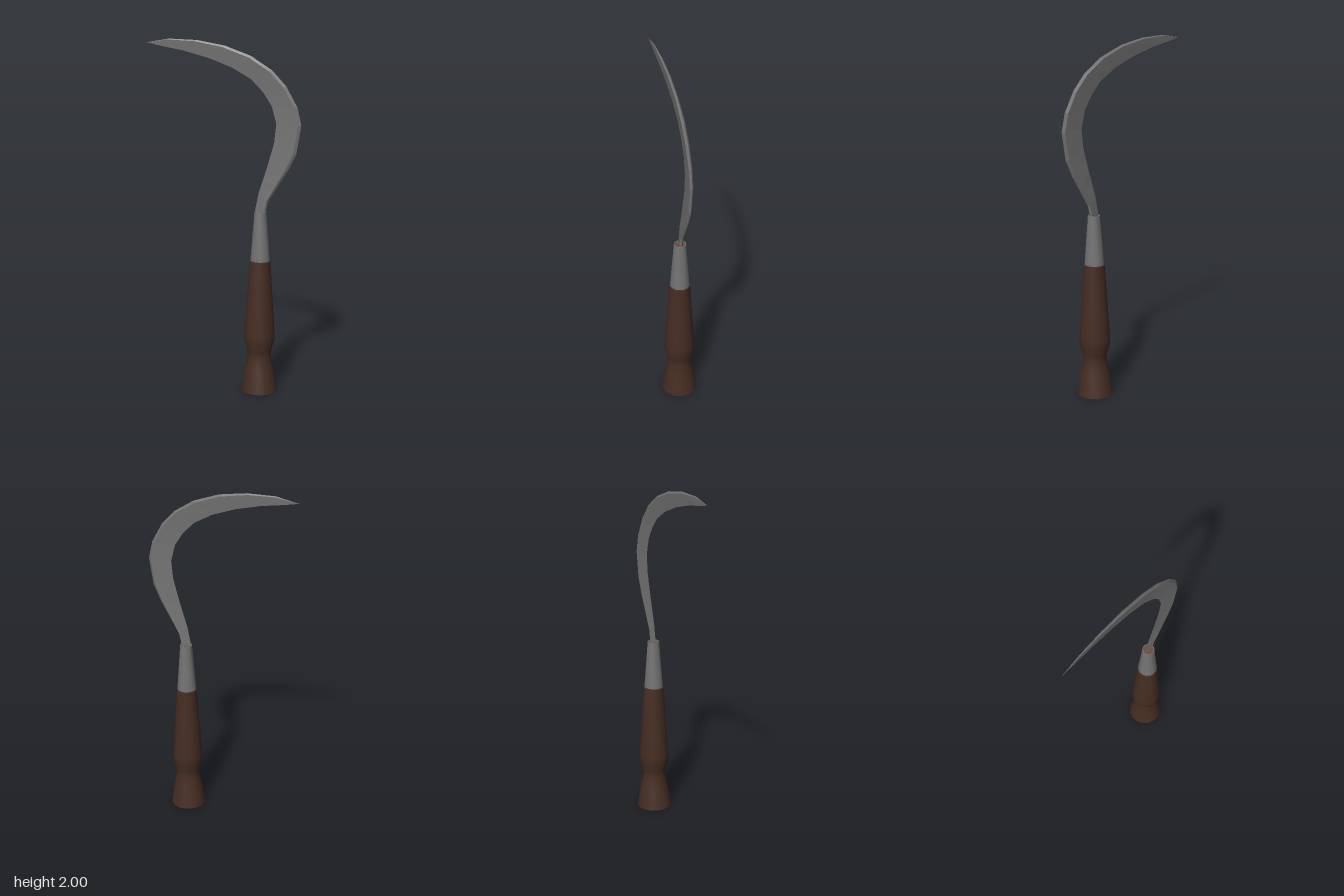
import * as THREE from 'three';
import { toCreasedNormals } from 'three/addons/utils/BufferGeometryUtils.js';

const SIDES = 16;
const AXIS_X = 0.215;

const steel = new THREE.MeshStandardMaterial({ name: 'steel', color: 0x737373 });
const wood = new THREE.MeshStandardMaterial({ name: 'darkWood', color: 0x452d22 });
const endGrain = new THREE.MeshStandardMaterial({ name: 'endGrain', color: 0x74462f });
const bladeSteel = steel.clone();
bladeSteel.name = 'bladeSteel';
bladeSteel.flatShading = true;

// Turned part around the handle axis, profile given as [radius, y] upward
function turned(name, profile, material) {
  const points = profile.map(([r, y]) => new THREE.Vector2(r, y));
  const geometry = new THREE.LatheGeometry(points, SIDES, Math.PI / SIDES);
  const mesh = new THREE.Mesh(toCreasedNormals(geometry, 0.7), material);
  mesh.name = name;
  mesh.position.x = AXIS_X;
  return mesh;
}

// Blade stations: [inner x, inner y, spine x, spine y, half thickness]
const STATIONS = [
  [0.183, 1.0, 0.246, 1.0, 0.01],
  [0.183, 1.058, 0.246, 1.058, 0.01],
  [0.204, 1.164, 0.257, 1.11, 0.01],
  [0.228, 1.24, 0.31, 1.2, 0.01],
  [0.251, 1.312, 0.368, 1.296, 0.01],
  [0.288, 1.444, 0.413, 1.39, 0.01],
  [0.299, 1.55, 0.438, 1.545, 0.01],
  [0.273, 1.646, 0.415, 1.645, 0.01],
  [0.225, 1.72, 0.352, 1.757, 0.01],
  [0.156, 1.79, 0.273, 1.841, 0.01],
  [0.045, 1.852, 0.156, 1.915, 0.009],
  [-0.087, 1.9, 0.008, 1.968, 0.008],
  [-0.23, 1.937, -0.15, 1.995, 0.006],
  [-0.36, 1.96, -0.31, 2.0, 0.003],
  [-0.44, 1.977, -0.44, 1.978, 0.0005],
];

// Blade lofted from sections with a sharp inner edge and a bevelled spine
function makeBlade() {
  const positions = [];
  const index = [];
  STATIONS.forEach(([ix, iy, sx, sy, t], i) => {
    const rx = THREE.MathUtils.lerp(ix, sx, 0.88);
    const ry = THREE.MathUtils.lerp(iy, sy, 0.88);
    positions.push(ix, iy, 0, rx, ry, t, sx, sy, 0, rx, ry, -t);
    if (i === STATIONS.length - 1) return;
    for (let j = 0; j < 4; j++) {
      const a = i * 4 + j;
      const b = i * 4 + (j + 1) % 4;
      index.push(a, b, b + 4, a, b + 4, a + 4);
    }
  });
  const geometry = new THREE.BufferGeometry();
  geometry.setAttribute('position', new THREE.Float32BufferAttribute(positions, 3));
  geometry.setIndex(index);
  const flat = geometry.toNonIndexed();
  flat.computeVertexNormals();
  const mesh = new THREE.Mesh(flat, bladeSteel);
  mesh.name = 'blade';
  return mesh;
}

export function createModel() {
  const group = new THREE.Group();
  group.name = 'sickle';

  // Turned wooden grip with a narrow waist above the flared butt
  group.add(turned('handle', [
    [0, 0], [0.102, 0], [0.08, 0.14], [0.066, 0.205], [0.068, 0.24],
    [0.087, 0.3], [0.087, 0.34], [0.076, 0.5], [0.058, 0.77], [0, 0.775],
  ], wood));

  // Tapered metal collar, open at the top
  group.add(turned('ferrule', [
    [0.05, 0.77], [0.055, 0.775], [0.034, 1.055], [0.03, 1.055], [0.031, 1.03],
  ], steel));

  // Wood end showing inside the collar
  group.add(turned('handleTip', [[0.032, 1.03], [0.031, 1.045], [0, 1.045]], endGrain));

  group.add(makeBlade());
  return group;
}
